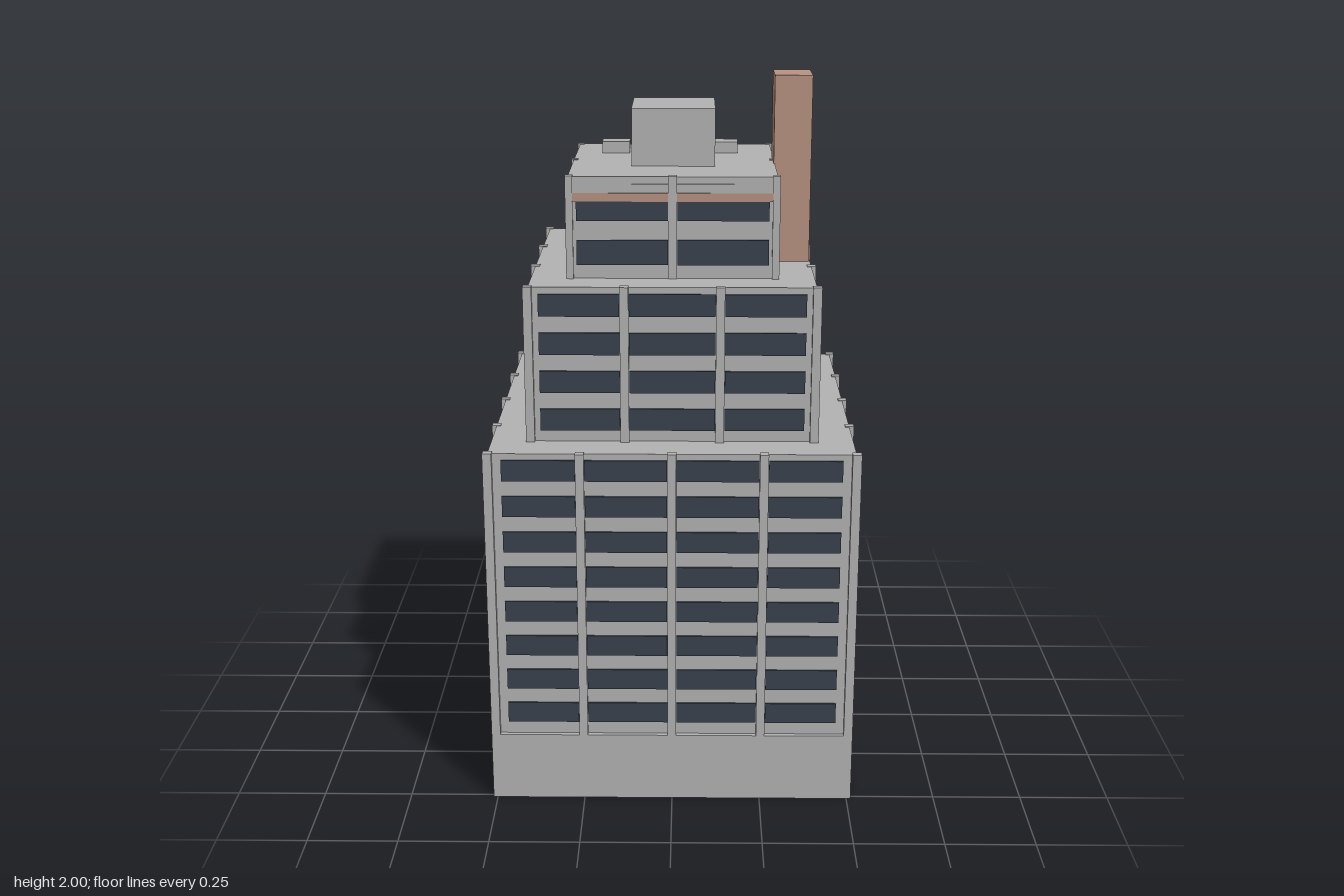
import * as THREE from 'three';

const mat = (name, color) => {
  const m = new THREE.MeshStandardMaterial({ color });
  m.name = name;
  return m;
};

export function createModel() {
  const concrete = mat('concrete grey', 0xb3b3b3);
  const glass = mat('dark glass', 0x3a424e);
  const brick = mat('terracotta', 0xb89382);
  const model = new THREE.Group();
  model.name = 'steppedTower';

  // Box given by its minimum and maximum corners
  const box = (parent, name, material, x0, x1, y0, y1, z0, z1) => {
    const mesh = new THREE.Mesh(new THREE.BoxGeometry(x1 - x0, y1 - y0, z1 - z0), material);
    mesh.position.set((x0 + x1) / 2, (y0 + y1) / 2, (z0 + z1) / 2);
    mesh.name = name;
    parent.add(mesh);
    return mesh;
  };

  // Base
  box(model, 'base', concrete, -0.512, 0.512, 0, 0.2, -0.512, 0.512);

  // Tiers: wall = half width of the core, out = half width at the piers,
  // edge = outer end of the glass, rows = [bottom, top] of each window band
  const band = (n, first, pitch, h) =>
    Array.from({ length: n }, (_, i) => [first + i * pitch - h / 2, first + i * pitch + h / 2]);
  const tiers = [
    { name: 'lowerTier', y0: 0.2, y1: 1.04, wall: 0.499, out: 0.512, edge: 0.463, pier: 0.025,
      mullions: [-0.25, 0, 0.25], rows: band(8, 0.267, 0.1036, 0.06) },
    { name: 'middleTier', y0: 1.04, y1: 1.475, wall: 0.389, out: 0.402, edge: 0.362, pier: 0.024,
      mullions: [-0.13, 0.13], rows: band(4, 1.103, 0.1075, 0.062) },
    { name: 'upperTier', y0: 1.475, y1: 1.755, wall: 0.284, out: 0.291, edge: 0.262, pier: 0.02,
      mullions: [0], rows: [[1.513, 1.582], [1.635, 1.688]], trim: true },
  ];

  for (const t of tiers) {
    const tier = new THREE.Group();
    tier.name = t.name;
    model.add(tier);
    box(tier, 'core', concrete, -t.wall, t.wall, t.y0, t.y1, -t.wall, t.wall);

    // Corner piers
    for (const sx of [-1, 1]) for (const sz of [-1, 1]) {
      const pier = box(tier, 'cornerPier', concrete, 0, t.pier, t.y0, t.y1 + 0.003, 0, t.pier);
      pier.position.x = sx * (t.out - t.pier / 2);
      pier.position.z = sz * (t.out - t.pier / 2);
    }

    // Four identical facades
    for (let f = 0; f < 4; f++) {
      const facade = new THREE.Group();
      facade.name = 'facade';
      facade.rotation.y = f * Math.PI / 2;
      tier.add(facade);
      for (const x of t.mullions)
        box(facade, 'mullion', concrete, x - 0.012, x + 0.012, t.y0, t.y1 + 0.002, t.wall - 0.012, t.out);

      // Windows between the mullions
      const stops = [-t.edge - 0.013, ...t.mullions, t.edge + 0.013];
      for (let i = 0; i < stops.length - 1; i++) {
        const a = stops[i] + 0.013, b = stops[i + 1] - 0.013;
        for (const [lo, hi] of t.rows)
          box(facade, 'window', glass, a, b, lo, hi, t.wall - 0.002, t.wall + 0.005);
      }

      // Terracotta band with a concrete ledge on the top storey
      if (t.trim) {
        box(facade, 'terracottaBand', brick, -0.272, 0.272, 1.688, 1.711, t.wall - 0.002, t.wall + 0.006);
        box(facade, 'ledge', concrete, -0.272, 0.272, 1.711, 1.735, t.wall - 0.002, t.wall + 0.003);
      }
    }
  }

  // Rooftop plant room and air units
  box(model, 'plantRoom', concrete, -0.116, 0.116, 1.75, 1.915, -0.116, 0.116);
  for (const x of [-0.169, -0.012, 0.144])
    box(model, 'airUnit', concrete, x - 0.04, x + 0.04, 1.75, 1.788, -0.17, -0.112);

  // Chimney on the left side
  box(model, 'chimney', brick, 0.281, 0.386, 1.4, 2, -0.071, 0.069);

  return model;
}
